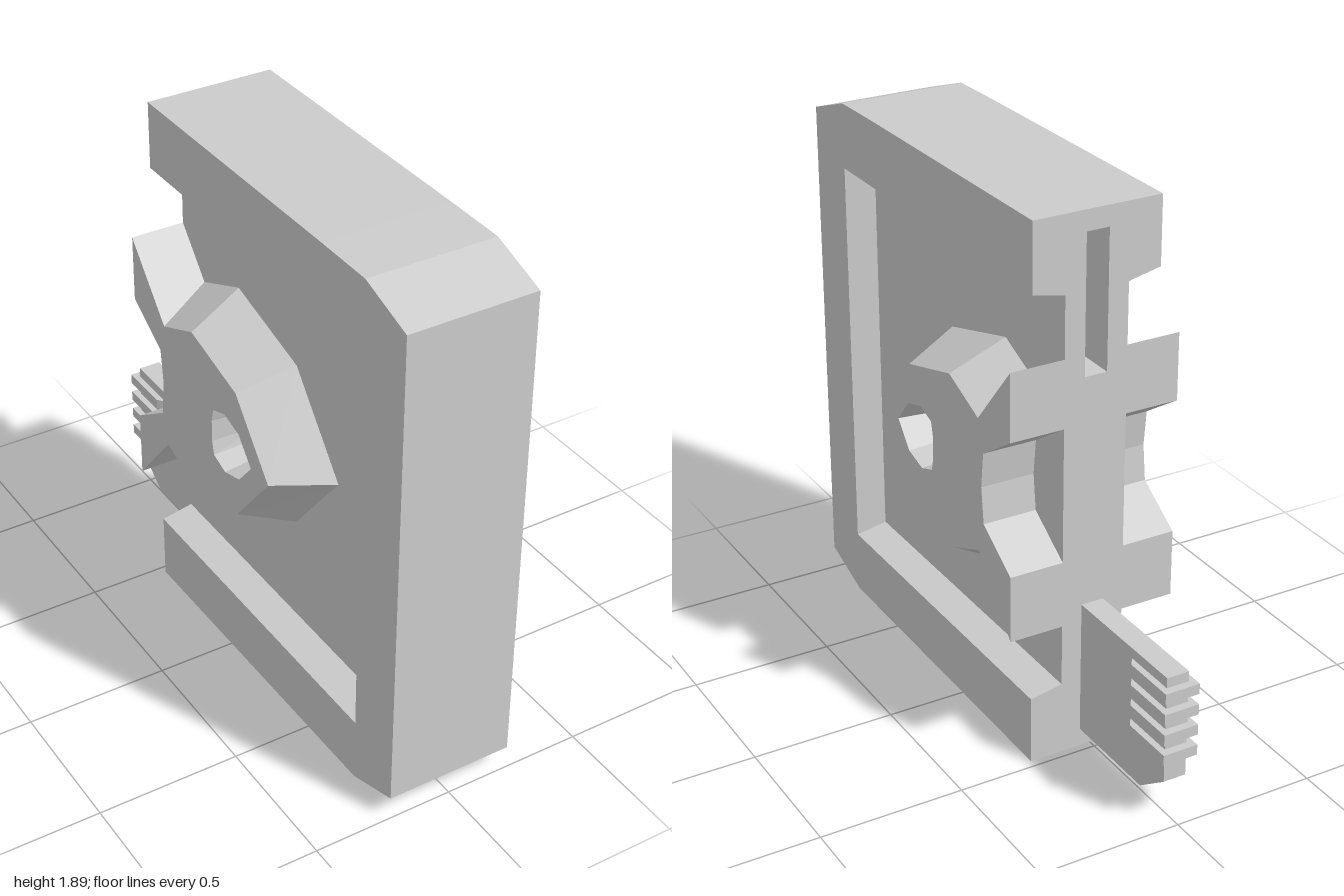
import * as THREE from 'three';

const material = new THREE.MeshStandardMaterial({ color: 0xcccccc, flatShading: true });
const MID = 0.95; // height of the mirror line of the side relief
const FLOOR = 0.112; // half width of the recessed core
const BACK = -0.472;

// Solid between two [z, y] outlines lying at x0 and x1; side = -1 mirrors it across x = 0.
function loft(name, low, high, x0, x1, side = 1, lowHole = null, highHole = null) {
  const ring = (points) => points.map(([z, y]) => new THREE.Vector2(-z, y));
  const orient = (a, b, clockwise) => {
    const pair = [ring(a), ring(b)];
    if (THREE.ShapeUtils.isClockWise(pair[1]) !== clockwise) pair.forEach((p) => p.reverse());
    return pair;
  };
  const rings = [orient(low, high, false)];
  if (lowHole) rings.push(orient(lowHole, highHole, true));

  const pos = [];
  const tri = (...corners) => {
    if (side < 0) corners.reverse();
    corners.forEach(([p, x]) => pos.push(side * x, p.y, -p.x));
  };
  // walls
  for (const [lo, hi] of rings) {
    for (let i = 0; i < lo.length; i++) {
      const j = (i + 1) % lo.length;
      tri([lo[i], x0], [lo[j], x0], [hi[j], x1]);
      tri([lo[i], x0], [hi[j], x1], [hi[i], x1]);
    }
  }
  // end caps
  [x0, x1].forEach((x, end) => {
    const outline = rings[0][end];
    const holes = rings.slice(1).map((r) => r[end]);
    const all = [outline, ...holes].flat();
    for (const [a, b, c] of THREE.ShapeUtils.triangulateShape(outline, holes)) {
      if (end) tri([all[a], x], [all[b], x], [all[c], x]);
      else tri([all[c], x], [all[b], x], [all[a], x]);
    }
  });

  const geometry = new THREE.BufferGeometry();
  geometry.setAttribute('position', new THREE.Float32BufferAttribute(pos, 3));
  geometry.computeVertexNormals();
  const mesh = new THREE.Mesh(geometry, material);
  mesh.name = name;
  return mesh;
}

// Completes an upper half outline with its mirror image below MID.
function mirrored(half) {
  const lower = half.filter(([, y]) => y !== MID).map(([z, y]) => [z, 2 * MID - y]).reverse();
  return [...half, ...lower];
}

export function createModel() {
  const group = new THREE.Group();

  // Outer silhouette, from the lower back corner round the front to the upper back corner
  const shell = [
    [BACK, 0], [0.56, 0.01], [0.79, 0.012], [1, 0.085],
    [1, 1.812], [0.79, 1.884], [0.56, 1.887], [BACK, 1.89],
  ];

  // Core: a slotted middle layer between two plain layers
  const slot = [[BACK, 1.82], [0.03, 1.82], [0.03, 1.345], [BACK, 1.345]];
  group.add(loft('slottedCore', [...shell, ...slot], [...shell, ...slot], -0.04, 0.04));

  // Raised frame, open to the back, with sloping upper and lower lips
  const frame = (bottom, top) => [...shell, [BACK, top], [0.79, top], [0.79, bottom], [BACK, bottom]];

  // Relief: bevelled pointed head with two prongs around a notch
  const notch = [[BACK, 1.185], [-0.302, 1.075], [-0.288, MID]];
  const relief = (head) => {
    const half = [...head, [BACK, 1.42], ...notch];
    const below = half.slice(1, -1).map(([z, y]) => [z, 2 * MID - y]).reverse();
    return [...half, ...below];
  };
  const reliefBase = relief([[0.495, MID], [0.245, 1.255], [-0.11, 1.355], [-0.335, 1.261]]);
  const reliefFace = relief([[0.385, MID], [0.19, 1.185], [-0.085, 1.262], [-0.27, 1.185]]);
  const eyeBase = mirrored([[0.255, MID], [0.195, 1.02], [0.115, 1.042], [0.055, 1.022], [0.043, 0.985]]);
  const eyeFace = mirrored([[0.28, MID], [0.205, 1.038], [0.115, 1.063], [0.045, 1.038], [0.034, 0.99]]);

  for (const side of [1, -1]) {
    const prefix = side > 0 ? 'left' : 'right';
    group.add(loft(prefix + 'CorePlate', shell, shell, 0.04, FLOOR, side));
    group.add(loft(prefix + 'Frame', frame(0.262, 1.63), frame(0.24, 1.655), FLOOR, 0.226, side));
    group.add(loft(prefix + 'Relief', reliefBase, reliefFace, FLOOR, 0.302, side, eyeBase, eyeFace));
  }

  // Plug blade at the lower back
  const blade = [[BACK, 0.065], [-0.84, 0.065], [-0.972, 0.16], [-0.972, 0.54], [BACK, 0.54]];
  group.add(loft('plugBlade', blade, blade, -0.04, 0.04));

  // Contact teeth across the tip of the blade
  const plan = new THREE.Shape([
    [-0.062, -1], [0.062, -1], [0.062, -0.805], [0.04, -0.775], [-0.04, -0.775], [-0.062, -0.805],
  ].map(([x, z]) => new THREE.Vector2(x, z)));
  const toothGeometry = new THREE.ExtrudeGeometry(plan, { depth: 0.037, bevelEnabled: false });
  toothGeometry.rotateX(Math.PI / 2);
  for (let i = 0; i < 4; i++) {
    const tooth = new THREE.Mesh(toothGeometry, material);
    tooth.name = 'contactTooth' + (i + 1);
    tooth.position.y = 0.504 - i * 0.0745;
    group.add(tooth);
  }
  return group;
}
